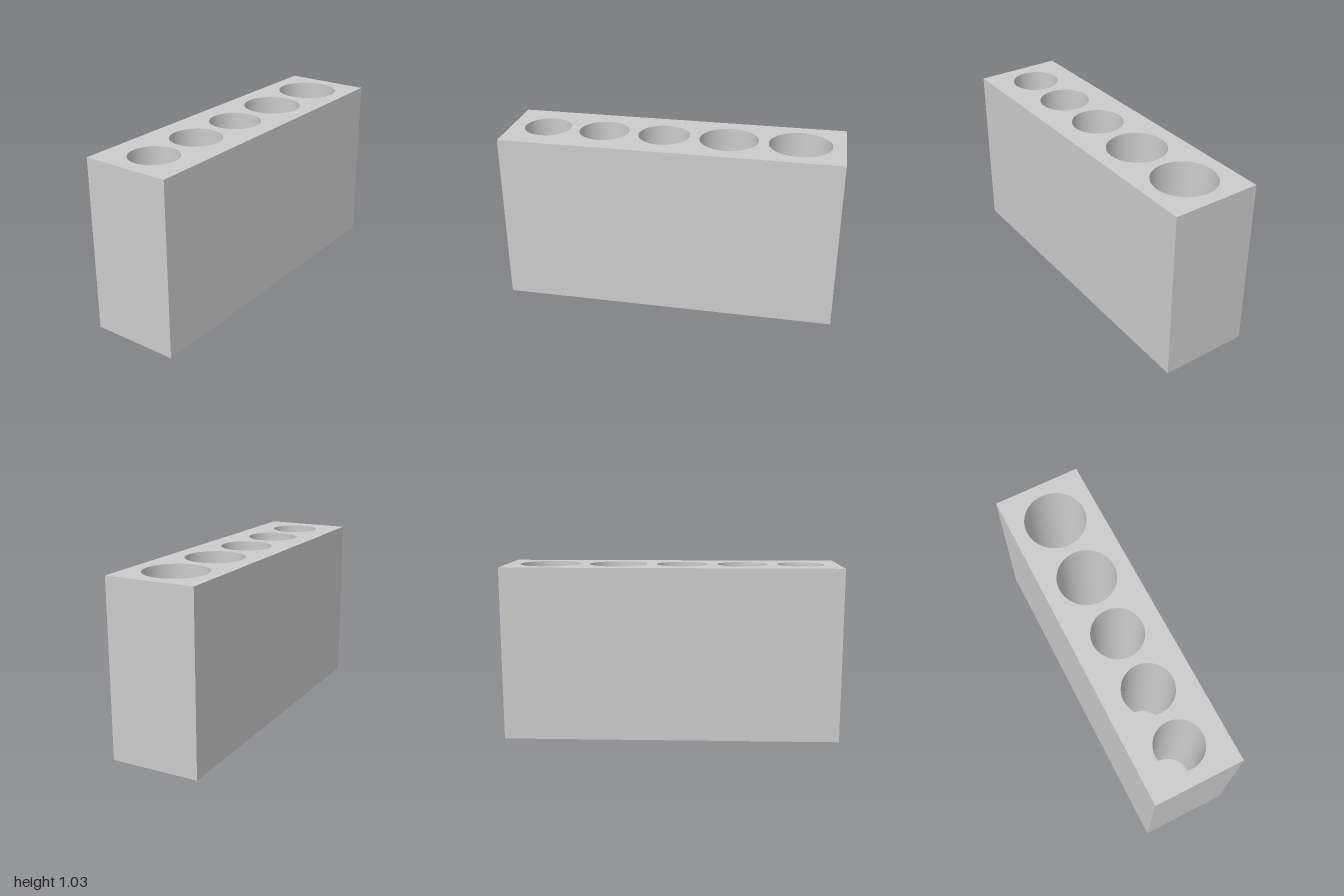
import * as THREE from 'three';
import { toCreasedNormals } from 'three/addons/utils/BufferGeometryUtils.js';

const W = 0.527, H = 1.03, L = 2, FLOOR = 0.08;

// round wells from back to front: [z centre, radius]
const WELLS = [[-0.74, 0.183], [-0.326, 0.173], [0.06, 0.153], [0.424, 0.15], [0.774, 0.142]];

export function createModel() {
  const group = new THREE.Group();
  group.name = 'tubeHolder';
  const material = new THREE.MeshStandardMaterial({ color: 0xcccccc });
  const add = (name, geometry) => {
    const mesh = new THREE.Mesh(geometry, material);
    mesh.name = name;
    group.add(mesh);
    return mesh;
  };

  // block: sides and underside (the box's own top face is dropped)
  const block = new THREE.BoxGeometry(W, H, L).translate(0, H / 2, 0);
  const index = Array.from(block.index.array);
  index.splice(12, 6);
  block.setIndex(index);
  block.clearGroups();
  add('block', block);

  // top face, pierced by the wells
  const outline = new THREE.Shape([
    new THREE.Vector2(-W / 2, -L / 2), new THREE.Vector2(W / 2, -L / 2),
    new THREE.Vector2(W / 2, L / 2), new THREE.Vector2(-W / 2, L / 2),
  ]);
  for (const [z, r] of WELLS) {
    outline.holes.push(new THREE.Path().absarc(0, -z, r, 0, Math.PI * 2, true));
  }
  add('topFace', new THREE.ShapeGeometry(outline, 32).rotateX(-Math.PI / 2).translate(0, H, 0));

  // blind wells: inward-facing wall and flat floor
  WELLS.forEach(([z, r], i) => {
    const profile = [[r, H], [r, FLOOR], [0, FLOOR]].map(([x, y]) => new THREE.Vector2(x, y));
    const well = toCreasedNormals(new THREE.LatheGeometry(profile, 64), 0.6);
    add(`well${i + 1}`, well).position.z = z;
  });

  return group;
}
